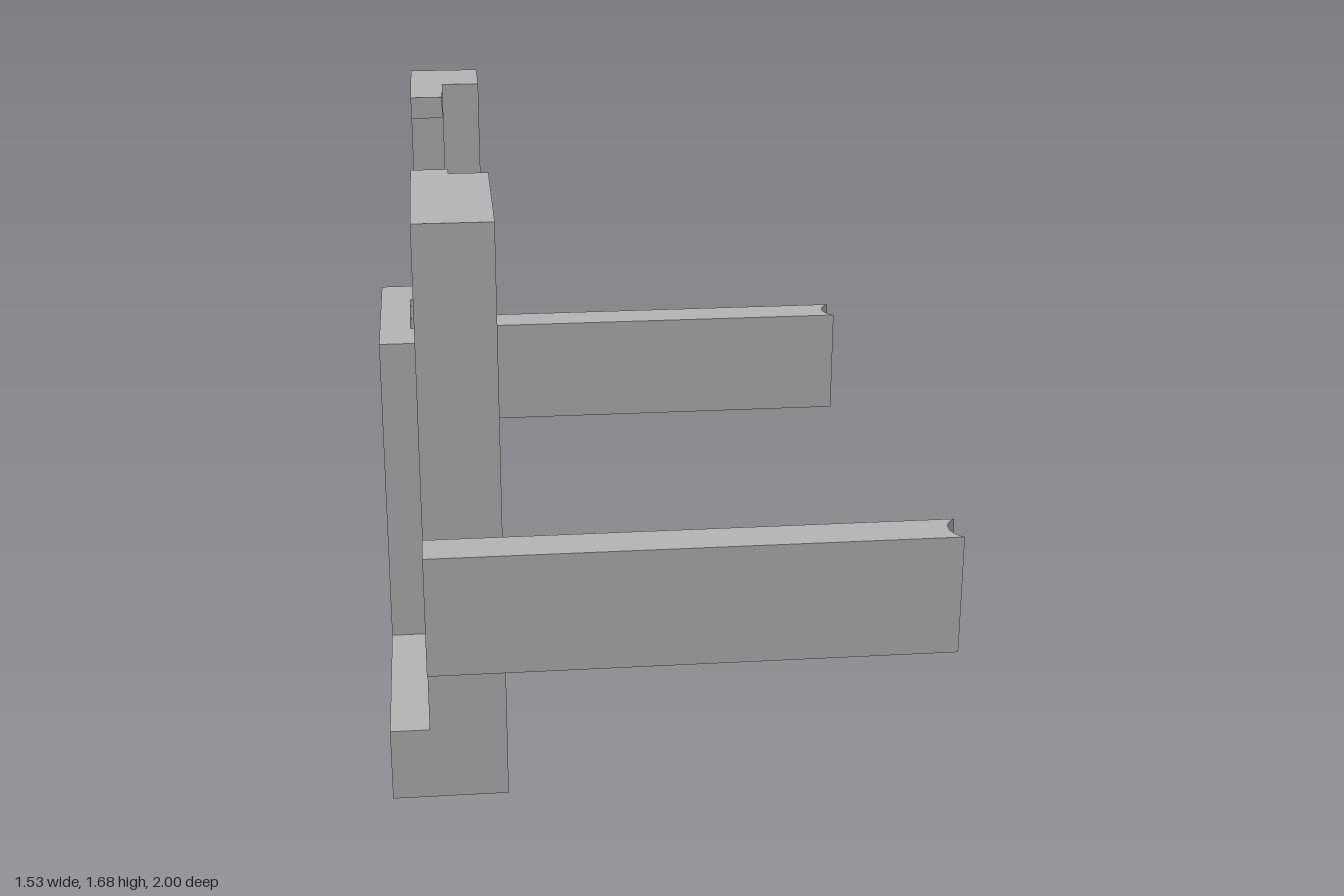
import * as THREE from 'three';
import { toCreasedNormals } from 'three/addons/utils/BufferGeometryUtils.js';

const HOLE_X = -0.65;   // centre of the screw hole
const SHAFT_R = 0.06;
const HEAD_R = 0.115;

export function createModel() {
  const model = new THREE.Group();
  const grey = new THREE.MeshStandardMaterial({ color: 0xb4b4b4 });
  grey.name = 'plain grey';

  // Raises a plan outline of [x, z] points from y0 to y1, with an optional round hole
  function slab(name, points, y0, y1, holeRadius) {
    const shape = new THREE.Shape(points.map(([x, z]) => new THREE.Vector2(x, -z)));
    if (holeRadius) {
      shape.holes.push(new THREE.Path().absarc(HOLE_X, 0, holeRadius, 0, Math.PI * 2, true));
    }
    let geometry = new THREE.ExtrudeGeometry(shape, { depth: y1 - y0, bevelEnabled: false, curveSegments: 24 });
    geometry.rotateX(-Math.PI / 2);
    geometry.translate(0, y0, 0);
    geometry = toCreasedNormals(geometry, 0.6);
    const mesh = new THREE.Mesh(geometry, grey);
    mesh.name = name;
    model.add(mesh);
    return mesh;
  }

  const rect = (x0, x1, z0, z1) => [[x0, z0], [x1, z0], [x1, z1], [x0, z1]];

  // Points where the screw clearance bites into a face at x = faceX
  function bite(faceX, radius) {
    const half = Math.acos((HOLE_X - faceX) / radius);
    const points = [];
    for (let i = 0; i <= 20; i++) {
      const a = half - (2 * half * i) / 20;
      points.push([HOLE_X - radius * Math.cos(a), radius * Math.sin(a)]);
    }
    return points;
  }

  // Base with a screw hole, counterbore and shallow open recess
  slab('base', rect(-0.77, -0.45, -0.855, 0.855), 0, 0.15, SHAFT_R);
  slab('counterboreLayer', rect(-0.77, -0.45, -0.855, 0.855), 0.15, 0.17, HEAD_R);
  slab('recessLayer', [
    [-0.77, 0.855], [-0.45, 0.855], [-0.45, 0.31], [-0.665, 0.31],
    ...bite(-0.665, HEAD_R),
    [-0.665, -0.31], [-0.45, -0.31], [-0.45, -0.855], [-0.77, -0.855],
  ], 0.17, 0.21);

  // Centre panel with a wide shallow groove and clearance for the screw
  const panel = (cut) => [
    [-0.77, 0.273], [-0.662, 0.273], [-0.662, 0.138], [-0.682, 0.138],
    ...cut,
    [-0.682, -0.138], [-0.662, -0.138], [-0.662, -0.273], [-0.77, -0.273],
  ];
  slab('panelHeadClearance', panel(bite(-0.682, HEAD_R)), 0.21, 0.245);
  slab('panelShaftClearance', panel(bite(-0.682, SHAFT_R)), 0.245, 0.35);
  slab('panel', panel([]), 0.35, 1.13);

  // Wide front wall with a rebated inner edge
  slab('frontWall', [
    [-0.662, 0.31], [-0.56, 0.31], [-0.56, 0.357],
    [-0.45, 0.357], [-0.45, 0.855], [-0.662, 0.855],
  ], 0.21, 1.645);

  // Back post with a flange, and a catch at its top
  slab('backPost', [
    [-0.662, -0.855], [-0.45, -0.855], [-0.45, -0.633],
    [-0.563, -0.633], [-0.563, -0.513], [-0.662, -0.513],
  ], 0.21, 1.68);
  slab('catch', rect(-0.662, -0.566, -0.513, -0.447), 1.615, 1.68);

  // Side bars with a scooped end
  for (const side of [-1, 1]) {
    const scoop = [];
    for (let i = 0; i <= 16; i++) {
      const a = -0.927 + (1.854 * i) / 16;
      scoop.push([0.81 - 0.075 * Math.cos(a), side * 0.94 + 0.075 * Math.sin(a)]);
    }
    slab(side > 0 ? 'frontBar' : 'backBar', [
      [-0.662, side * 0.94 + 0.06], [-0.662, side * 0.94 - 0.06], ...scoop,
    ], 0.45, 0.79);
  }

  return model;
}
